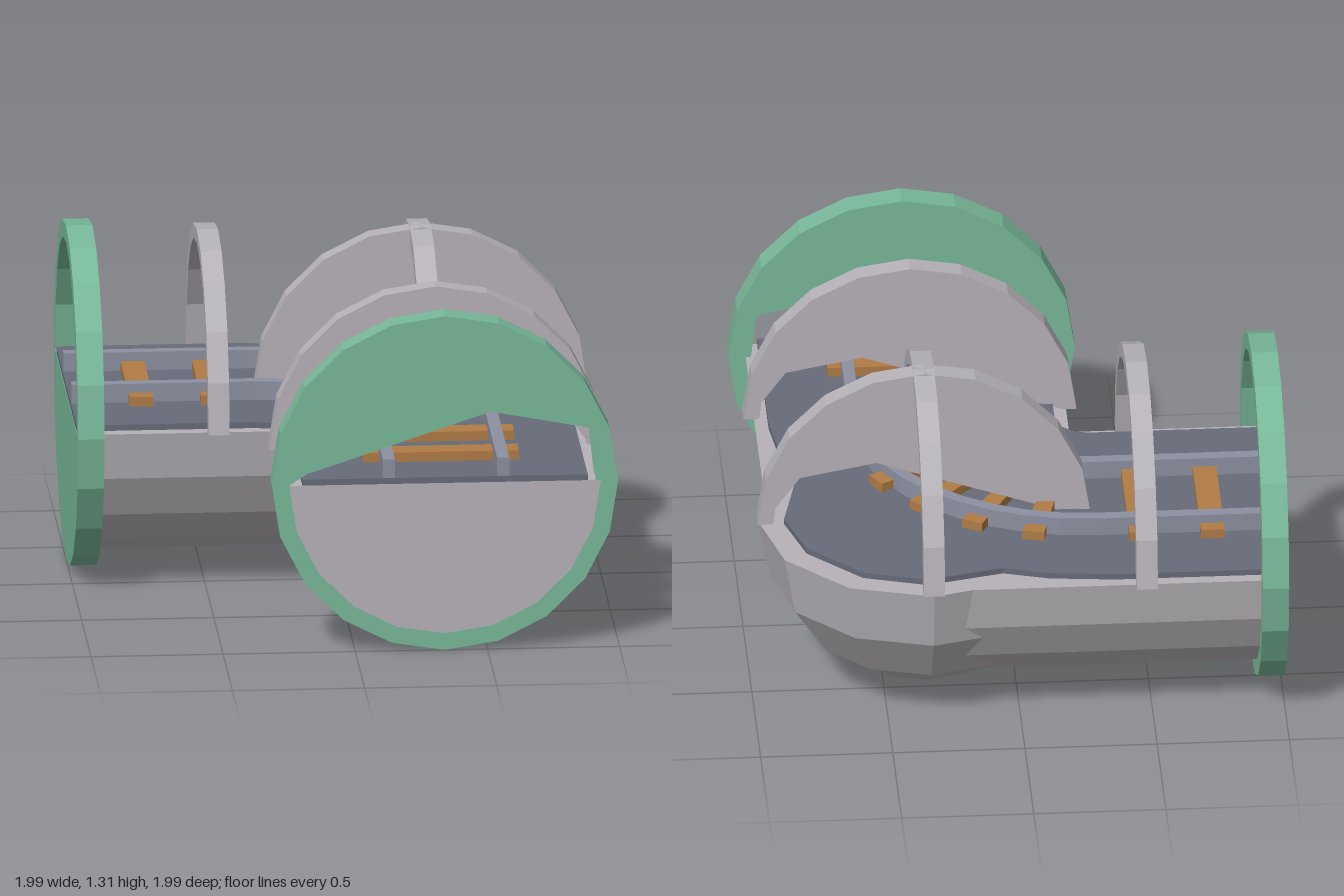
import * as THREE from 'three';

const paint = (name, color) => {
  const m = new THREE.MeshStandardMaterial({ color });
  m.name = name;
  return m;
};

const AXIS_Y = 0.66;    // height of the tunnel axis and of the deck
const CORNER = 0.34;    // the two arms meet at x = CORNER, z = -CORNER
const ARM = 1 + CORNER; // length of one arm

export function createModel() {
  const grey = paint('pale grey', 0xb6b2b8);
  const green = paint('mint green', 0x78b899);
  const slate = paint('slate deck', 0x676b78);
  const steel = paint('rail steel', 0x8c90a0);
  const wood = paint('tie wood', 0xb07c45);

  const model = new THREE.Group();
  model.name = 'cornerTunnel';

  const add = (parent, name, geometry, material) => {
    const mesh = new THREE.Mesh(geometry, material);
    mesh.name = name;
    parent.add(mesh);
    return mesh;
  };

  // Points on a 20-sided circle, from step a to step b
  const arc = (r, a, b) => {
    const pts = [];
    for (let i = a; i <= b; i++) {
      const t = (i * Math.PI) / 10;
      pts.push(new THREE.Vector2(r * Math.cos(t), r * Math.sin(t)));
    }
    return pts;
  };
  const vecs = (list) => list.map(([x, y]) => new THREE.Vector2(x, y));

  // Upright slab from z0 to z1, centred on the tunnel axis
  const slab = (points, z0, z1, hole) => {
    const shape = new THREE.Shape(points);
    if (hole) shape.holes.push(new THREE.Path(hole));
    const g = new THREE.ExtrudeGeometry(shape, { depth: z1 - z0, bevelEnabled: false });
    return g.translate(0, AXIS_Y, z0);
  };

  // Flat slab from y0 to y1, outline given as x, z
  const flat = (outline, y0, y1) => {
    const shape = new THREE.Shape(outline.map(([x, z]) => new THREE.Vector2(x, -z)));
    const g = new THREE.ExtrudeGeometry(shape, { depth: y1 - y0, bevelEnabled: false });
    return g.rotateX(-Math.PI / 2).translate(0, y0, 0);
  };

  // Lower edges of the panels that close the upper part of an arch
  const frontEdge = vecs([[-0.5, 0.06], [0.05, 0.47], [0.35, 0.42], [0.48, 0.32], [0.555, 0.18], [0.57, 0]]);
  const backEdge = vecs([[-0.57, 0], [0.18, 0.25], [0.55, 0.18], [0.57, 0]]);
  const panels = (parent, name, r, z0, z1, material) => {
    const rim = arc(r, 0, 10);
    add(parent, name + 'FrontPanel', slab([...rim, ...frontEdge], z1 - 0.006, z1, null), material);
    add(parent, name + 'BackPanel', slab([...rim, ...backEdge], z0, z0 + 0.006, null), material);
  };

  // One arm, running along local +z from the corner
  const arm = (name, angle, closed) => {
    const g = new THREE.Group();
    g.name = name;
    g.position.set(CORNER, 0, -CORNER);
    g.rotation.y = angle;
    model.add(g);

    add(g, 'trough', slab(arc(0.59, 10, 20), 0, ARM - 0.002), grey);
    add(g, 'endRing', slab(arc(0.655, 0, 19), ARM - 0.1, ARM, arc(0.59, 0, 19)), green);
    if (closed) panels(g, 'endRing', 0.592, ARM - 0.1, ARM, green);
    else add(g, 'endPlate', slab(arc(0.59, 10, 20), ARM - 0.004, ARM), green);

    // Hoops over the corner and over the middle of the arm
    for (const z of [0, 0.805]) {
      const band = [...arc(0.63, 0, 10), ...arc(0.575, 0, 10).reverse()];
      add(g, 'hoop', slab(band, z - 0.04, z + 0.04), grey);
      if (closed) panels(g, 'hoop', 0.58, z - 0.036, z + 0.036, grey);
    }

    // Straight ties
    for (const z of [0.805, 1.075]) {
      const tie = new THREE.BoxGeometry(0.59, 0.04, 0.09).translate(0, 0.7, z);
      add(g, 'straightTie', tie, wood);
    }
  };
  arm('frontArm', 0, true);
  arm('sideArm', -Math.PI / 2, false);

  // Faceted bowl under the outer corner
  const bowl = new THREE.SphereGeometry(0.63, 12, 4, 0, Math.PI * 2, Math.PI / 2, Math.PI / 2).toNonIndexed();
  bowl.computeVertexNormals();
  add(model, 'cornerBowl', bowl, grey).position.set(CORNER, AXIS_Y, -CORNER);
  const lid = new THREE.CircleGeometry(0.63, 12).rotateX(-Math.PI / 2);
  add(model, 'cornerLip', lid, grey).position.set(CORNER, AXIS_Y, -CORNER);

  // Deck
  add(model, 'deck', flat([
    [-0.998, -0.885], [-0.35, -0.885], [-0.1, -0.86], [0.07, -0.81], [0.36, -0.88], [0.6, -0.81],
    [0.8, -0.61], [0.87, -0.38], [0.805, -0.08], [0.85, 0.1], [0.88, 0.35], [0.88, 0.998],
    [-0.2, 0.998], [-0.2, 0.32], [-0.215, 0.26], [-0.26, 0.215], [-0.32, 0.2], [-0.998, 0.2],
  ], AXIS_Y, 0.683), slate);

  // Rails: straight, quarter turn about (-0.3, 0.3), straight
  const bend = (r) => {
    const pts = [[-0.995, 0.3 - r]];
    for (let i = 0; i <= 10; i++) {
      const t = (i * Math.PI) / 20;
      pts.push([-0.3 + r * Math.sin(t), 0.3 - r * Math.cos(t)]);
    }
    pts.push([-0.3 + r, 0.995]);
    return pts;
  };
  for (const [name, r] of [['innerRail', 0.428], ['outerRail', 0.86]]) {
    add(model, name, flat([...bend(r + 0.023), ...bend(r - 0.023).reverse()], 0.68, 0.755), steel);
  }

  // Tapered ties fanned around the bend
  for (let i = 1; i <= 5; i++) {
    const tie = flat([[-0.02, -0.35], [0.02, -0.35], [0.042, -0.935], [-0.042, -0.935]], 0.68, 0.72);
    const mesh = add(model, 'curveTie', tie, wood);
    mesh.position.set(-0.3, 0, 0.3);
    mesh.rotation.y = (-i * Math.PI) / 12;
  }

  return model;
}
